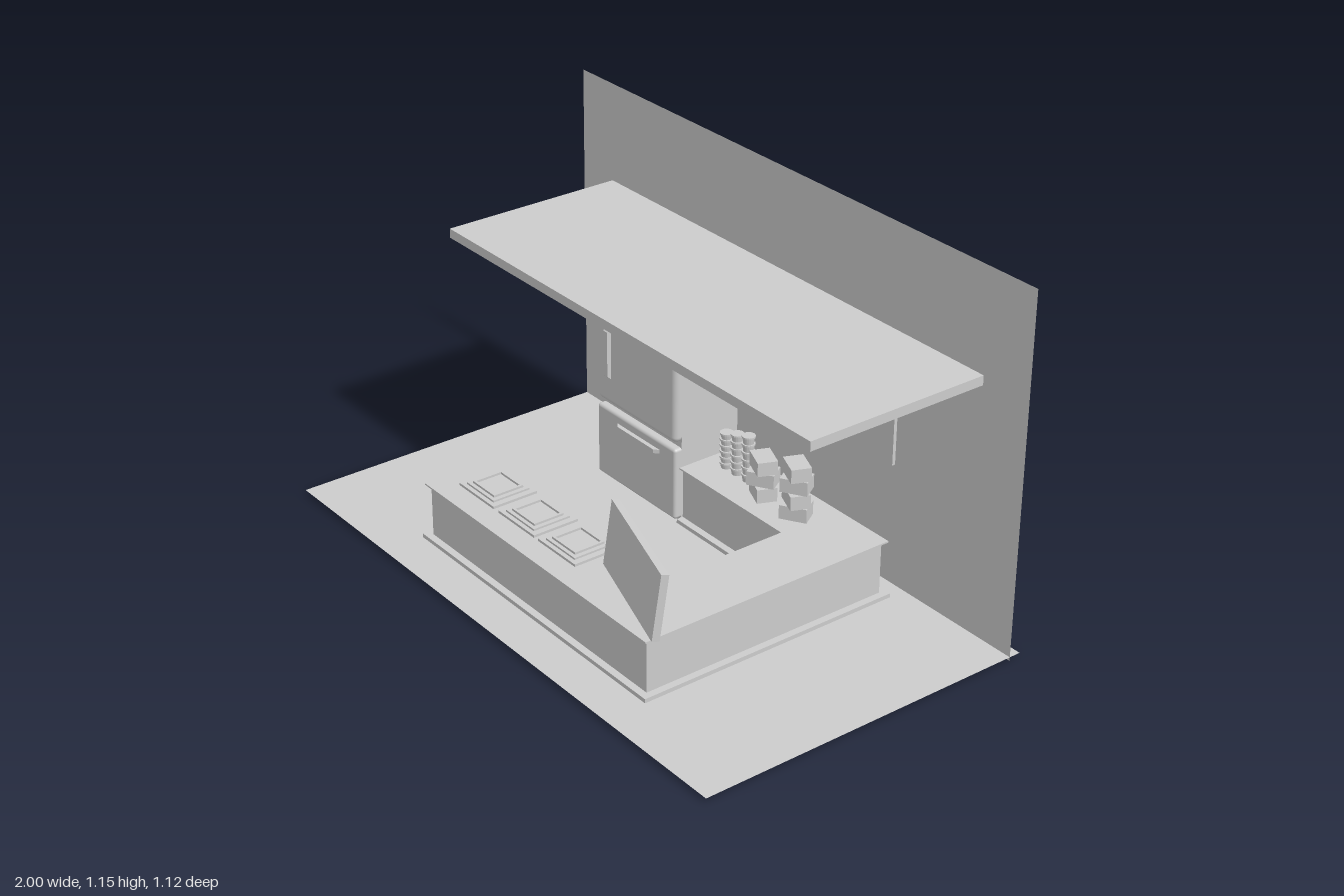
import * as THREE from 'three';
import { RoundedBoxGeometry } from 'three/addons/geometries/RoundedBoxGeometry.js';

const grey = new THREE.MeshStandardMaterial({ color: 0xcccccc });
const thin = new THREE.MeshStandardMaterial({ color: 0xcccccc, side: THREE.DoubleSide });

export function createModel() {
  const model = new THREE.Group();

  function add(name, geometry, x, y, z, parent = model, material = grey) {
    const mesh = new THREE.Mesh(geometry, material);
    mesh.name = name;
    mesh.position.set(x, y, z);
    parent.add(mesh);
    return mesh;
  }
  // Box given by its limits on each axis
  function box(name, x0, x1, y0, y1, z0, z1, parent = model) {
    return add(name, new THREE.BoxGeometry(x1 - x0, y1 - y0, z1 - z0),
      (x0 + x1) / 2, (y0 + y1) / 2, (z0 + z1) / 2, parent);
  }
  function group(name, x = 0, y = 0, z = 0) {
    const g = new THREE.Group();
    g.name = name;
    g.position.set(x, y, z);
    model.add(g);
    return g;
  }

  // Floor and back wall
  add('floor', new THREE.PlaneGeometry(2, 1.12).rotateX(-Math.PI / 2), 0, 0.012, 0, model, thin);
  add('backWall', new THREE.PlaneGeometry(2, 1.15), 0, 0.575, -0.522, model, thin);

  // Hanging canopy and wall panel
  box('canopy', -0.85, 0.825, 0.796, 0.826, -0.524, 0.09);
  box('menuPanel', -0.053, 0.505, 0.41, 0.672, -0.515, -0.504);

  // Counter running along the front, right and back, grown outward by d
  function counterLayer(name, d, y0, y1) {
    const l = -0.517 - d, r = 0.54 + d, f = 0.402 + d, b = -0.444 - d;
    const innerR = 0.345 - d, innerF = 0.08 - d, innerB = -0.258 + d;
    const plan = [[l, f], [r, f], [r, b], [-0.145, b], [-0.145, innerB],
      [innerR, innerB], [innerR, innerF], [l, innerF]];
    const shape = new THREE.Shape(plan.map(([x, z]) => new THREE.Vector2(x, -z)));
    const g = new THREE.ExtrudeGeometry(shape, { depth: y1 - y0, bevelEnabled: false });
    add(name, g.rotateX(-Math.PI / 2), 0, y0, 0);
  }
  const counterTop = 0.2;
  counterLayer('counterPlinth', 0.023, 0.01, 0.025);
  counterLayer('counterBody', 0, 0.025, 0.195);
  counterLayer('counterTop', 0.014, 0.195, counterTop);

  // Refrigerator with an upper door and a lower drawer
  const fridge = group('refrigerator');
  box('fridgePlinth', -0.55, -0.145, 0.008, 0.024, -0.466, -0.25, fridge);
  box('fridgeBody', -0.535, -0.145, 0.024, 0.643, -0.466, -0.252, fridge);
  add('fridgeDoor', new RoundedBoxGeometry(0.39, 0.36, 0.05, 4, 0.018), -0.34, 0.465, -0.251, fridge);
  add('fridgeDrawer', new RoundedBoxGeometry(0.39, 0.241, 0.05, 4, 0.01), -0.34, 0.1445, -0.251, fridge);
  box('fridgeBackGrille', -0.5, -0.18, 0.033, 0.22, -0.482, -0.464, fridge);

  // Door handle: bar with slanted ends
  const bar = new THREE.Shape([[0, -0.09], [0.016, -0.075], [0.016, 0.075], [0, 0.09]]
    .map(([u, v]) => new THREE.Vector2(u, v)));
  const handle = new THREE.ExtrudeGeometry(bar, { depth: 0.02, bevelEnabled: false })
    .rotateY(-Math.PI / 2);
  add('doorHandle', handle, -0.464, 0.462, -0.228, fridge);
  // Drawer handle: the same bar turned on its side
  const drawerBar = handle.clone().rotateZ(Math.PI / 2).scale(1.2, 0.65, 1);
  add('drawerHandle', drawerBar, -0.325, 0.235, -0.228, fridge);

  // Stacks of paper cups, each rim stepping out from the one below
  [[-0.065, 0.12], [-0.014, 0.137], [0.038, 0.153]].forEach(([x, height]) => {
    const rims = 6, profile = [new THREE.Vector2(0, 0)];
    for (let i = 0; i < rims; i++) {
      const y0 = height * i / rims, y1 = height * (i + 1) / rims;
      profile.push(new THREE.Vector2(0.016, y0), new THREE.Vector2(0.0185, y1 - 0.006),
        new THREE.Vector2(0.021, y1 - 0.005), new THREE.Vector2(0.021, y1));
    }
    profile.push(new THREE.Vector2(0, height));
    const mesh = add('cupStack', new THREE.LatheGeometry(profile, 20), x, counterTop, -0.36);
    mesh.material = grey.clone();
    mesh.material.flatShading = true;
  });

  // Stacks of takeaway boxes, alternately turned
  [[0.135, 3, 0], [0.285, 4, 1]].forEach(([x, count, phase]) => {
    const stack = group('boxStack', x, counterTop, -0.338);
    const h = 0.0448;
    for (let i = 0; i < count; i++) {
      const carton = add('takeawayBox', new THREE.BoxGeometry(0.085, h, 0.062), 0, h * (i + 0.5), 0, stack);
      carton.rotation.y = (i + phase) % 2 ? 0.55 : -0.4;
    }
  });

  // Three stepped serving trays on the front counter
  [-0.37, -0.165, 0.035].forEach((x) => {
    const tray = group('servingTray', x, counterTop, 0.262);
    box('trayBase', -0.09, 0.09, 0, 0.008, -0.078, 0.078, tray);
    box('trayPlate', -0.07, 0.07, 0.008, 0.014, -0.064, 0.064, tray);
    for (const s of [-1, 1]) {
      add('trayRim', new THREE.BoxGeometry(0.008, 0.007, 0.104), s * 0.052, 0.0175, 0, tray);
      add('trayRim', new THREE.BoxGeometry(0.104, 0.007, 0.008), 0, 0.0175, s * 0.048, tray);
    }
  });

  // Angled sign board leaning back on the counter
  const board = add('signBoard', new THREE.BoxGeometry(0.425, 0.207, 0.023), 0.372, 0.304, 0.313);
  board.rotation.set(-0.13, -0.325, 0, 'YXZ');

  return model;
}
